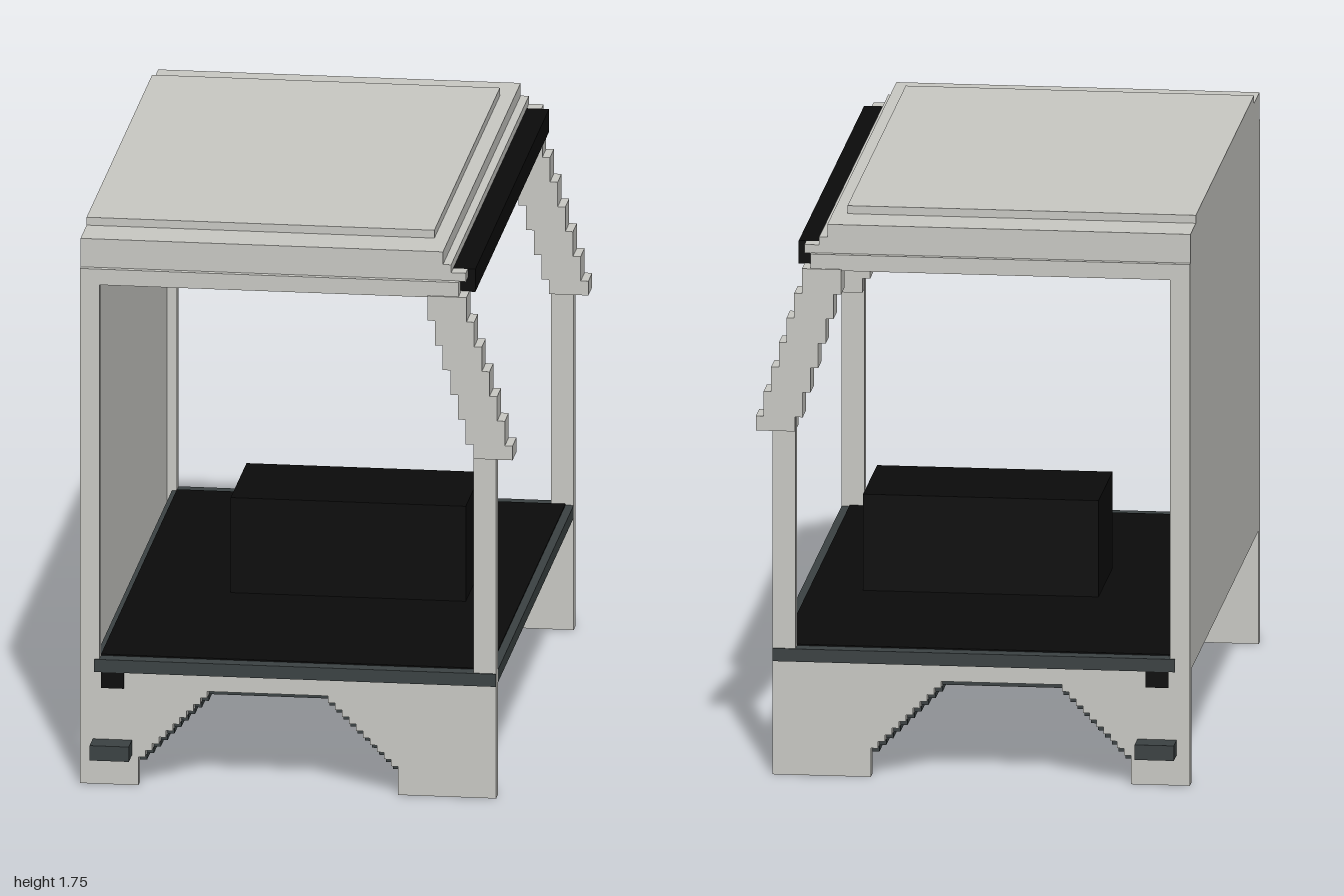
import * as THREE from 'three';

const paint = (name, color) => {
  const m = new THREE.MeshStandardMaterial({ color });
  m.name = name;
  return m;
};

export function createModel() {
  const model = new THREE.Group();
  model.name = 'truckCab';
  const grey = paint('bodyGrey', 0xc8c8c3);
  const slate = paint('chassisSlate', 0x3b4243);
  const black = paint('trimBlack', 0x0b0b0b);
  const tan = paint('ceilingTan', 0x857c60);

  const add = (name, geo, mat) => {
    const mesh = new THREE.Mesh(geo, mat);
    mesh.name = name;
    model.add(mesh);
    return mesh;
  };
  // Box from its limits on each axis
  const box = (name, mat, x0, x1, y0, y1, z0, z1) =>
    add(name, new THREE.BoxGeometry(x1 - x0, y1 - y0, z1 - z0), mat)
      .position.set((x0 + x1) / 2, (y0 + y1) / 2, (z0 + z1) / 2);
  // The same box on both sides of the cab
  const pair = (name, mat, x0, x1, y0, y1, z0, z1) => {
    box(name + 'Left', mat, x0, x1, y0, y1, z0, z1);
    box(name + 'Right', mat, x0, x1, y0, y1, -z1, -z0);
  };
  // Outline in x and y, extruded between two z limits
  const slab = (name, mat, pts, z0, z1) => {
    const shape = new THREE.Shape(pts.map(([x, y]) => new THREE.Vector2(x, y)));
    const geo = new THREE.ExtrudeGeometry(shape, { depth: z1 - z0, bevelEnabled: false });
    add(name, geo.translate(0, 0, z0), mat);
  };

  // Stepped wheel arch, from rear foot over the top to front foot
  const arch = (base) => {
    const n = 10, rise = 0.0215, rear = [], front = [];
    for (let i = 0; i < n; i++) {
      const y = base + i * rise;
      rear.push([-0.48 + i * 0.021, y], [-0.48 + (i + 1) * 0.021, y]);
      front.push([0.315 - i * 0.0215, y], [0.315 - (i + 1) * 0.0215, y]);
    }
    const top = base + n * rise;
    return [...rear, [-0.27, top], [0.10, top], ...front.reverse()];
  };

  // Side frame: lower panel with arch, rear post, header and front post
  const frame = [
    [-0.66, 0], [-0.48, 0], ...arch(0.09), [0.315, 0], [0.615, 0],
    [0.615, 1.12], [0.545, 1.12], [0.545, 0.36], [-0.6, 0.36],
    [-0.6, 1.58], [0.5, 1.58], [0.5, 1.63], [-0.66, 1.63],
  ];
  // Wheel well: block with the stepped arch cut from below
  const well = [[-0.49, 0.305], [-0.49, 0.07], ...arch(0.07), [0.325, 0.07], [0.325, 0.305]];
  for (const [side, s] of [['Left', 1], ['Right', -1]]) {
    const span = (a, b) => (s > 0 ? [a, b] : [-b, -a]);
    slab('sideFrame' + side, grey, frame, ...span(0.885, 0.925));
    slab('wheelWell' + side, slate, well, ...span(0.33, 0.885));
  }
  pair('wellEndPlate', slate, -0.47, 0.305, 0.165, 0.3, 0.332, 0.35);

  // Floor with mat, engine cover and rear wall
  box('floor', slate, -0.615, 0.615, 0.355, 0.395, -0.93, 0.93);
  box('floorMat', black, -0.6, 0.59, 0.395, 0.399, -0.885, 0.885);
  box('engineCover', black, -0.295, 0.425, 0.397, 0.7, -0.185, 0.185);
  box('rearWall', grey, -0.66, -0.63, 0.355, 1.64, -0.886, 0.886);

  // Roof with stepped front edge and raised centre
  slab('roof', grey, [
    [-0.66, 1.63], [0.475, 1.63], [0.475, 1.68], [0.45, 1.68], [0.45, 1.72], [-0.66, 1.72],
  ], -0.907, 0.907);
  box('roofPanel', grey, -0.66, 0.405, 1.72, 1.745, -0.765, 0.765);
  box('ceiling', tan, -0.63, 0.473, 1.624, 1.63, -0.84, 0.84);
  pair('roofRail', grey, -0.63, 0.498, 1.581, 1.63, 0.84, 0.886);
  pair('roofCorner', grey, 0.47, 0.52, 1.628, 1.655, 0.86, 0.907);

  // Stepped windscreen posts
  for (let i = 0; i < 7; i++) {
    const x = 0.405 + i * 0.0235, top = 1.585 - i * 0.0775;
    pair('windscreenPost' + (i + 1), grey, x, x + 0.12, i < 6 ? top - 0.0775 : 1.075, top, 0.84, 0.93);
  }

  // Sun visor bar, steps and marker plates
  box('visorBar', black, 0.474, 0.543, 1.583, 1.655, -0.86, 0.86);
  pair('entryStep', slate, -0.62, -0.5, 0.095, 0.142, 0.92, 1.0);
  pair('sideMarker', black, -0.595, -0.525, 0.305, 0.355, 0.924, 0.93);

  return model;
}
